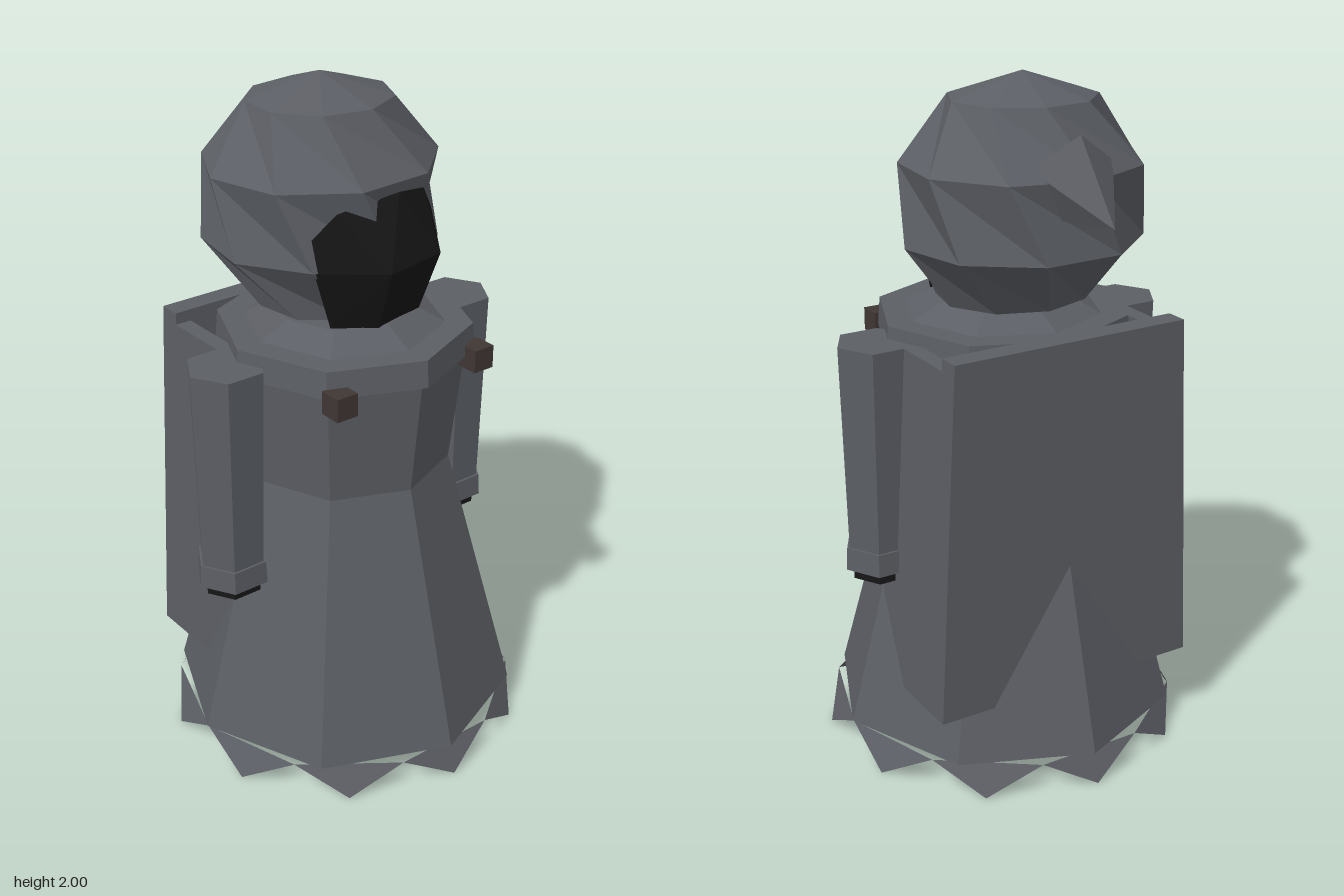
import * as THREE from 'three';
import { ConvexGeometry } from 'three/addons/geometries/ConvexGeometry.js';

function material(name, color, side = THREE.FrontSide) {
  const m = new THREE.MeshStandardMaterial({ color, side, flatShading: true });
  m.name = name;
  return m;
}

export function createModel() {
  const model = new THREE.Group();
  model.name = 'hoodedFigure';
  const cloth = material('greyCloth', 0x5b5e64, THREE.DoubleSide);
  const shadow = material('nearBlack', 0x161616);
  const brown = material('brownClasp', 0x403734);
  const Z = 0.008; // body axis

  const add = (name, geometry, mat, parent = model) => {
    const mesh = new THREE.Mesh(geometry, mat);
    mesh.name = name;
    parent.add(mesh);
    return mesh;
  };
  // Upright tapered prism between two heights
  const prism = (name, rTop, rBottom, y0, y1, sides, mat, parent) => {
    const mesh = add(name, new THREE.CylinderGeometry(rTop, rBottom, y1 - y0, sides), mat, parent);
    mesh.position.set(0, (y0 + y1) / 2, Z);
    return mesh;
  };

  // Robe
  prism('skirt', 0.31, 0.521, 0.095, 0.88, 8, cloth);
  prism('torso', 0.35, 0.31, 0.88, 1.24, 8, cloth);
  prism('collar', 0.368, 0.375, 1.23, 1.31, 8, cloth);
  prism('neck', 0.2, 0.29, 1.31, 1.355, 8, cloth);

  // Ragged hem: ten hanging points
  const hem = [];
  const ring = (r, a, y) => hem.push(r * Math.sin(a), y, r * Math.cos(a) + Z);
  for (let i = 0; i < 10; i++) {
    const a = i * Math.PI / 5, h = Math.PI / 10;
    ring(0.518, a - h, 0.095);
    ring(0.54, a, 0.005);
    ring(0.518, a + h, 0.095);
  }
  const hemGeometry = new THREE.BufferGeometry();
  hemGeometry.setAttribute('position', new THREE.Float32BufferAttribute(hem, 3));
  hemGeometry.computeVertexNormals();
  add('raggedHem', hemGeometry, cloth);

  // Arms with cuffs and hands, and collar clasps
  for (const side of [1, -1]) {
    const arm = new THREE.Group();
    arm.name = side > 0 ? 'leftArm' : 'rightArm';
    arm.position.x = side * 0.41;
    model.add(arm);
    const parts = [
      prism('sleeve', 0.115, 0.1, 0.66, 1.275, 6, cloth, arm),
      prism('cuff', 0.108, 0.112, 0.6, 0.668, 6, cloth, arm),
      prism('hand', 0.088, 0.088, 0.567, 0.605, 6, shadow, arm),
    ];
    for (const p of parts) p.rotation.y = Math.PI / 2;

    add('clasp', new THREE.BoxGeometry(0.068, 0.068, 0.068), brown)
      .position.set(side * 0.243, 1.227, 0.304);
  }

  // Cape: back panel and two side panels, flaring towards the bottom
  const flared = (name, width, y0, y1, z0, z1, x) => {
    const g = new THREE.BoxGeometry(width, y1 - y0, z1 - z0);
    g.translate(x, (y0 + y1) / 2, (z0 + z1) / 2);
    const p = g.attributes.position;
    for (let i = 0; i < p.count; i++) {
      const drop = (1.31 - p.getY(i)) / 1.06;
      p.setX(i, p.getX(i) + Math.sign(p.getX(i)) * 0.05 * drop);
    }
    add(name, g, cloth);
  };
  flared('capeBack', 0.74, 0.25, 1.31, -0.367, -0.3, 0);
  for (const side of [1, -1]) {
    flared('capeSide', 0.05, 0.25, 1.275, -0.366, 0, side * 0.345);
  }

  // Hood: coarse sphere, each ring twisted, flat underneath
  const hood = new THREE.SphereGeometry(0.35, 9, 5);
  const hp = hood.attributes.position;
  for (let i = 0; i < hp.count; i++) {
    const row = Math.floor(i / 10);
    const r = Math.hypot(hp.getX(i), hp.getZ(i)) * (row === 4 ? 1.08 : 1.04);
    const a = (i % 10) * Math.PI * 2 / 9 + row * 0.3;
    hp.setXYZ(i,
      -r * Math.cos(a),
      Math.max(1.65 + hp.getY(i), 1.345),
      r * Math.sin(a) * 0.93 - (row >= 4 ? 0.05 : 0.1));
  }
  add('hood', hood, cloth);

  // Hood point at the back
  const point = add('hoodPoint', new THREE.ConeGeometry(0.135, 0.233, 5), cloth);
  point.position.set(0, 1.705, -0.4375);
  point.rotation.x = -1.967;

  // Dark face hollow
  const face = [
    [-0.14, 1.35, 0.13], [-0.03, 1.345, 0.2], [0.15, 1.35, 0.16],
    [-0.21, 1.54, 0.15], [-0.05, 1.54, 0.28], [0.155, 1.54, 0.24], [0.19, 1.54, 0.15],
    [-0.215, 1.62, 0.13], [-0.15, 1.7, 0.17], [0.03, 1.735, 0.21], [0.13, 1.72, 0.19],
    [0.185, 1.67, 0.15], [0, 1.54, 0],
  ].map((p) => new THREE.Vector3(...p));
  add('face', new ConvexGeometry(face), shadow);

  return model;
}
